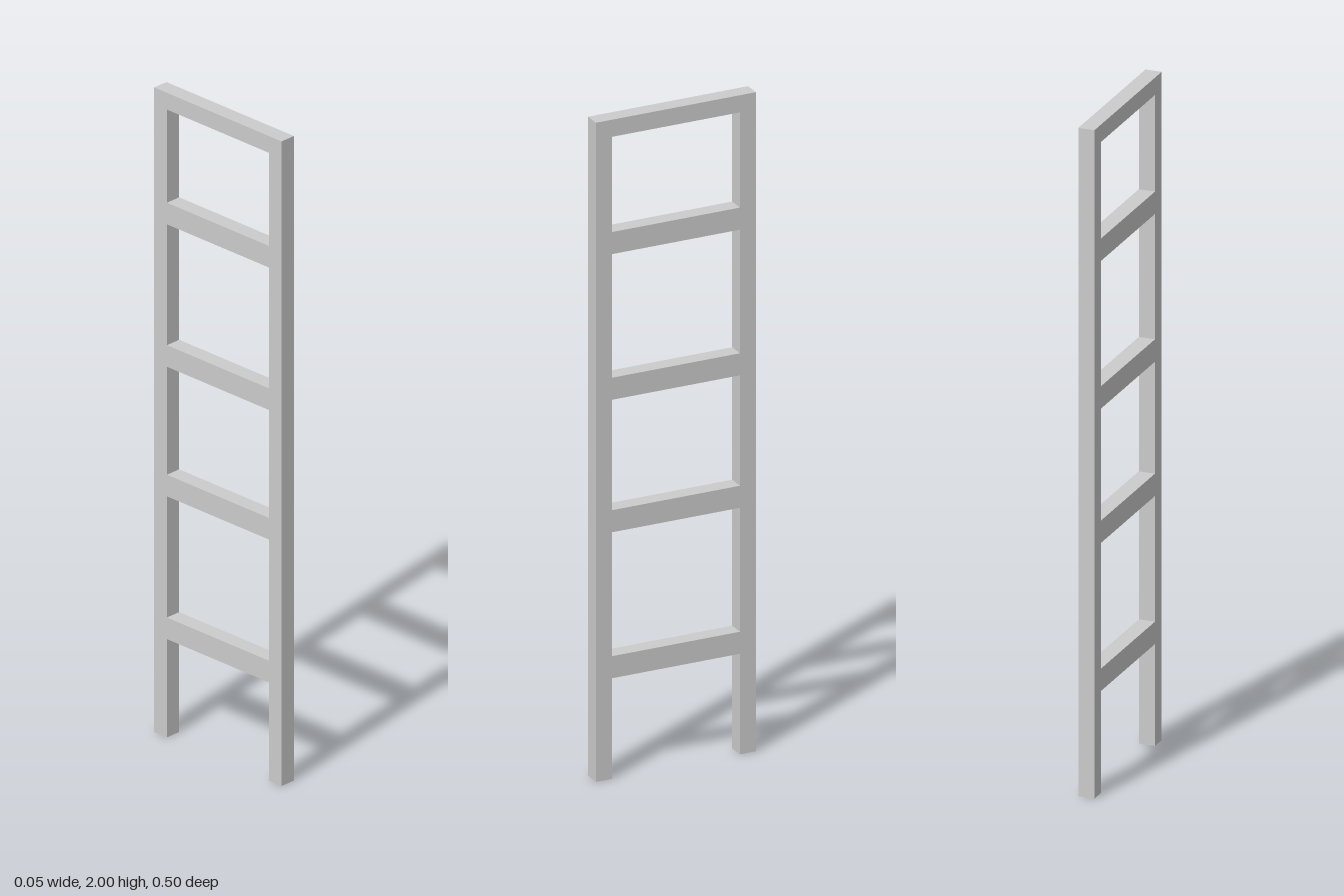
import * as THREE from 'three';

const DEPTH = 0.049; // thickness along x
const RAIL = 0.05; // rail width along z
const HALF = 0.25; // half of the ladder's width
const HEIGHT = 2;

export function createModel() {
  const ladder = new THREE.Group();
  ladder.name = 'ladder';
  const material = new THREE.MeshStandardMaterial({ color: 0xcccccc });

  const addBar = (name, bottom, top, width, z) => {
    const bar = new THREE.Mesh(new THREE.BoxGeometry(DEPTH, top - bottom, width), material);
    bar.name = name;
    bar.position.set(0, (bottom + top) / 2, z);
    ladder.add(bar);
  };

  // Upright rails
  addBar('frontRail', 0, HEIGHT, RAIL, HALF - RAIL / 2);
  addBar('backRail', 0, HEIGHT, RAIL, -HALF + RAIL / 2);

  // Rungs and top bar fit between the rails, flush with their faces
  const span = 2 * (HALF - RAIL);
  [0.305, 0.748, 1.15, 1.592].forEach((bottom, i) => {
    addBar(`rung${i + 1}`, bottom, bottom + 0.067, span, 0);
  });
  addBar('topBar', 1.948, HEIGHT, span, 0);

  return ladder;
}
